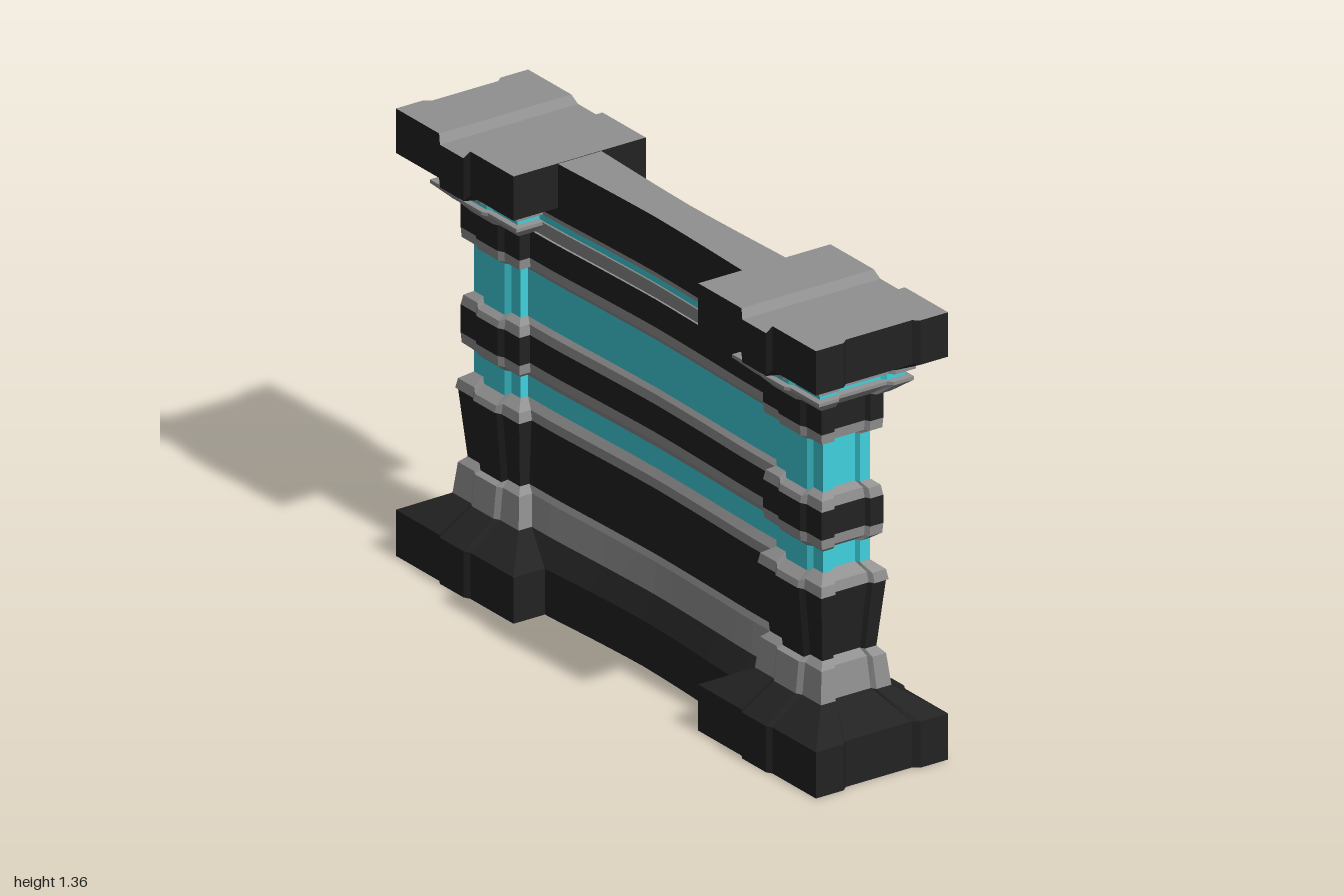
import * as THREE from 'three';

const DARK = 0x222222, GREY = 0x909090, CYAN = 0x40d0dc;
const materials = {};
const material = (color) => (materials[color] ??= new THREE.MeshStandardMaterial({ color, flatShading: true }));

// Courses from the ground up: name, colour, rows of [y, pillar half depth, wall half depth, dip at the rib]
const courses = [
  ['plinth', DARK, [[0, 0.225, 0.12], [0.14, 0.225, 0.12], [0.21, 0.12, 0.075]]],
  ['sill', GREY, [[0.21, 0.12, 0.075], [0.305, 0.11, 0.066], [0.325, 0.092, 0.06, 0.012]]],
  ['dado', DARK, [[0.325, 0.092, 0.06, 0.012], [0.53, 0.11, 0.068]]],
  ['dadoMoulding', GREY, [[0.53, 0.115, 0.07], [0.56, 0.11, 0.07, 0.01], [0.585, 0.08, 0.055, 0.012]]],
  ['lowerGlowBand', CYAN, [[0.585, 0.08, 0.055, 0.012], [0.65, 0.08, 0.055]]],
  ['middleLowerMoulding', GREY, [[0.65, 0.08, 0.055], [0.67, 0.103, 0.066], [0.7, 0.105, 0.068]]],
  ['middleBelt', DARK, [[0.7, 0.105, 0.068], [0.785, 0.105, 0.068]]],
  ['middleUpperMoulding', GREY, [[0.785, 0.105, 0.068], [0.815, 0.1, 0.066, 0.01], [0.83, 0.08, 0.055, 0.012]]],
  ['upperGlowBand', CYAN, [[0.83, 0.08, 0.055, 0.012], [0.975, 0.08, 0.055]]],
  ['upperMoulding', GREY, [[0.975, 0.08, 0.055], [0.99, 0.103, 0.066], [1.02, 0.105, 0.068]]],
  ['upperBelt', DARK, [[1.02, 0.105, 0.068], [1.105, 0.105, 0.068]]],
  ['corbel', GREY, [[1.105, 0.12, 0.06], [1.145, 0.162, 0.072], [1.155, 0.162, 0.074], [1.157, 0.145, 0.07]]],
  ['thinGlowBand', CYAN, [[1.157, 0.145, 0.07], [1.176, 0.145, 0.07]]],
  ['corbelLip', GREY, [[1.176, 0.145, 0.07], [1.179, 0.165, 0.074], [1.192, 0.165, 0.075]]],
  ['capital', DARK, [[1.192, 0.165, 0.075], [1.225, 0.225, 0.075, 0.02], [1.36, 0.225, 0.075, 0.025]]],
];

// Pillar outline, counter-clockwise from above: ribbed front and back, notched outer end, plain inner end
function pillarRing([y, h, , dip = 0]) {
  const hx = 1.17 * h + 0.017, r = 0.045 + 0.05 * h, e = 0.018;
  const front = [[-hx, h, 0], [-r - e, h, 0], [-r, h + 0.01, 1], [r, h + 0.01, 1], [r + e, h, 0], [hx, h, 0]];
  const end = [[hx, h * 0.58, 0], [hx - 0.015, h * 0.5, 0]];
  const half = [...front, ...end];
  const back = half.map(([x, z, k]) => [x, -z, k]).reverse();
  return [...half, ...back].map(([x, z, k]) => [x, y - dip * k, z]);
}

// Wall outline: gently waisted towards the middle
function wallRing([y, , h]) {
  const n = 16, L = 0.64, front = [];
  for (let i = 0; i <= n; i++) {
    const x = -L + (2 * L * i) / n;
    const u = Math.min(1, Math.abs(x) / 0.45);
    front.push([x, y, h * (0.82 + 0.18 * Math.pow(u, 1.4))]);
  }
  return [...front, ...front.map(([x, yy, z]) => [x, yy, -z]).reverse()];
}

function meshFrom(name, color, triangles) {
  const geo = new THREE.BufferGeometry();
  geo.setAttribute('position', new THREE.Float32BufferAttribute(triangles.flat(2), 3));
  geo.computeVertexNormals();
  const mesh = new THREE.Mesh(geo, material(color));
  mesh.name = name;
  return mesh;
}

// Skin between successive rings
function loft(rings) {
  const out = [];
  for (let k = 0; k + 1 < rings.length; k++) {
    const lo = rings[k], hi = rings[k + 1], n = lo.length;
    for (let i = 0; i < n; i++) {
      const j = (i + 1) % n;
      out.push([lo[i], lo[j], hi[j]], [lo[i], hi[j], hi[i]]);
    }
  }
  return out;
}

// Fill a polygon, facing up or down
function fill(points, up) {
  const flat = points.map(([x, , z]) => new THREE.Vector2(x, -z));
  return THREE.ShapeUtils.triangulateShape(flat, []).map(([a, b, c]) =>
    up ? [points[a], points[b], points[c]] : [points[a], points[c], points[b]]);
}

function buildStack(name, ring, topSections) {
  const group = new THREE.Group();
  group.name = name;
  let previous = null;
  for (const [part, color, rows] of courses) {
    const rings = rows.map(ring);
    // start at the end of the course below, so that steps are closed
    if (previous) rings.unshift(previous);
    group.add(meshFrom(part, color, loft(rings)));
    previous = rings[rings.length - 1];
  }
  const top = topSections(previous).flatMap((section) => fill(section, true));
  group.add(meshFrom('topFace', GREY, top));
  group.add(meshFrom('underside', CYAN, fill(ring(courses[0][2][0]), false)));
  return group;
}

// The pillar top is split along the rib, which forms a shallow groove
function pillarTop(ring) {
  const n = ring.length, sections = [];
  for (let i = 0; i < 4; i++) sections.push([ring[i], ring[i + 1], ring[n - 2 - i], ring[n - 1 - i]]);
  sections.push(ring.slice(4, n - 4));
  return sections;
}

export function createModel() {
  const model = new THREE.Group();
  model.name = 'wallSection';

  const left = buildStack('leftPillar', pillarRing, pillarTop);
  left.position.x = 0.72;
  const right = buildStack('rightPillar', pillarRing, pillarTop);
  right.position.x = -0.72;
  right.rotation.y = Math.PI;

  const wall = buildStack('wall', wallRing, (ring) => [ring]);
  // keep the wall just inside the pillars' top
  wall.scale.y = 0.999;
  model.add(left, right, wall);
  return model;
}
